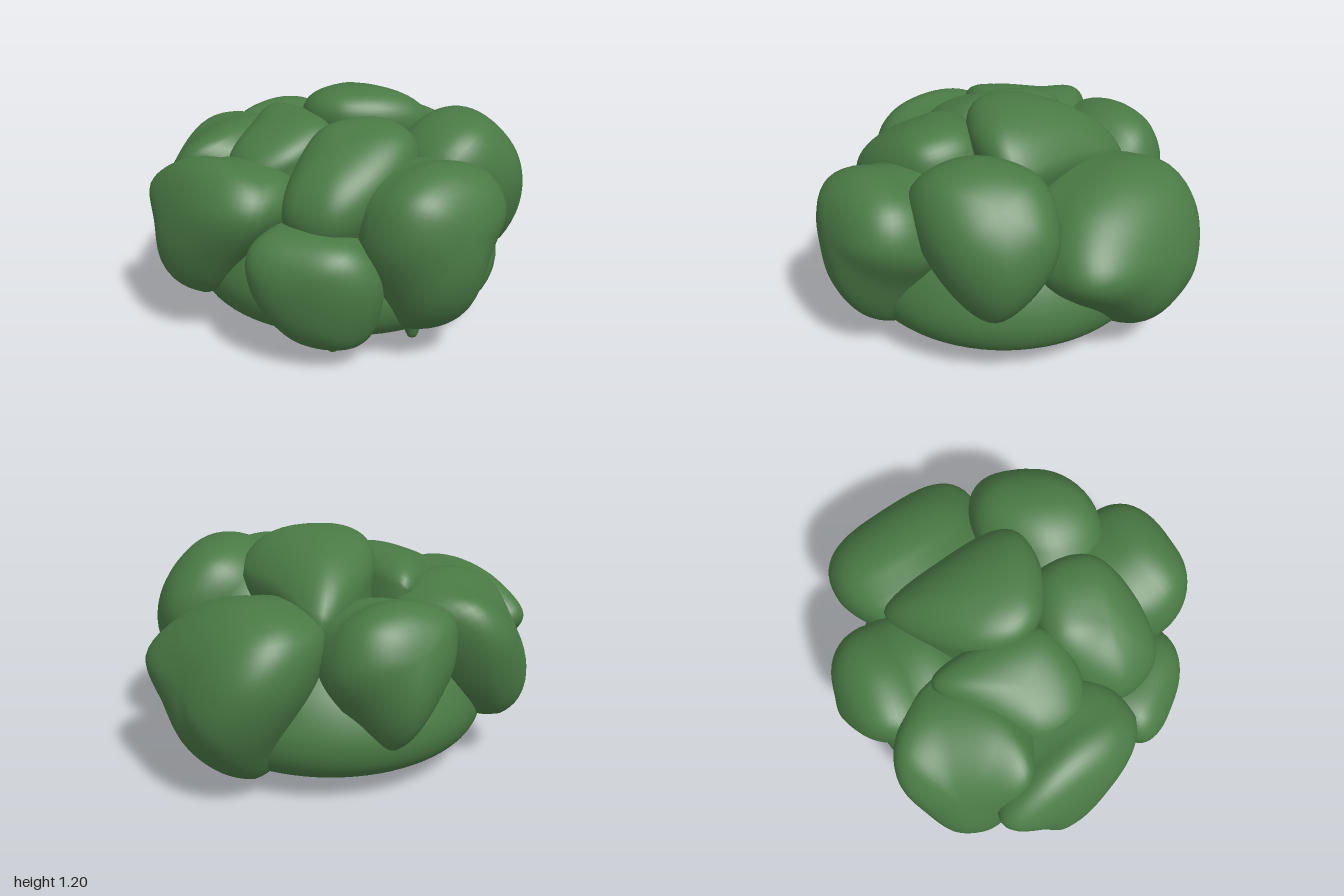
import * as THREE from 'three';
import { mergeVertices } from 'three/addons/utils/BufferGeometryUtils.js';

const green = new THREE.MeshStandardMaterial({ color: 0x4a7a45 });
const vec = (p) => new THREE.Vector3(...p);
const AROUND = 64, RINGS = 28;

// Pillow-like lobe: a closed rim curve swelling to an outer and an inner pole
function lobeGeometry(rim, apex, inner, power = 0.86) {
  const pts = rim.map(vec), top = vec(apex), bottom = vec(inner);
  const centre = pts.reduce((sum, p) => sum.add(p), new THREE.Vector3()).divideScalar(pts.length);
  const out = top.clone().sub(centre), back = bottom.clone().sub(centre);

  // Make the rim run counter-clockwise around the outward direction
  const normal = new THREE.Vector3();
  pts.forEach((p, i) => {
    const q = pts[(i + 1) % pts.length];
    normal.add(p.clone().sub(centre).cross(q.clone().sub(centre)));
  });
  if (normal.dot(out) < 0) pts.reverse();
  normal.normalize();

  const curve = new THREE.CatmullRomCurve3(pts, true, 'centripetal');
  const spokes = Array.from({ length: AROUND }, (_, i) => curve.getPointAt(i / AROUND).sub(centre));
  const position = [], index = [];
  for (let j = 0; j <= RINGS; j++) {
    const t = (j / RINGS - 0.5) * Math.PI;
    const r = j % RINGS ? Math.cos(t) ** power : 0;
    const h = Math.abs(Math.sin(t)) ** power;
    for (let i = 0; i < AROUND; i++) {
      // Warp of the rim out of its plane fades quadratically, so the poles stay smooth
      const warp = spokes[i].dot(normal) * (r * r - r);
      const p = centre.clone().addScaledVector(spokes[i], r)
        .addScaledVector(normal, warp).addScaledVector(t > 0 ? out : back, h);
      position.push(p.x, p.y, p.z);
      if (j === RINGS) continue;
      const a = j * AROUND + i, b = j * AROUND + (i + 1) % AROUND;
      if (j > 0) index.push(a, b, a + AROUND);
      if (j < RINGS - 1) index.push(b, b + AROUND, a + AROUND);
    }
  }
  let g = new THREE.BufferGeometry();
  g.setAttribute('position', new THREE.Float32BufferAttribute(position, 3));
  g.setIndex(index);
  g = mergeVertices(g, 1e-5);
  g.computeVertexNormals();
  return g;
}

export function createModel() {
  const model = new THREE.Group();
  model.name = 'lobedCluster';
  const add = (name, geometry) => {
    const mesh = new THREE.Mesh(geometry, green);
    mesh.name = name;
    model.add(mesh);
    return mesh;
  };
  const lobe = (name, rim, apex, inner, power) => add(name, lobeGeometry(rim, apex, inner, power));

  // Rounded, shallow body under the lobes
  const profile = new THREE.SplineCurve([
    [0, 0], [0.3, 0.015], [0.54, 0.06], [0.72, 0.14], [0.8, 0.25],
    [0.8, 0.4], [0.7, 0.6], [0.48, 0.78], [0, 0.88],
  ].map(([x, y]) => new THREE.Vector2(x, y))).getPoints(40);
  profile.forEach((p) => p.set(Math.max(p.x, 0), Math.max(p.y, 0)));
  add('body', new THREE.LatheGeometry(profile, 72)).position.x = -0.04;

  // Lobes around the side
  lobe('frontLobe', [
    [-0.53, 0.68, 0.76], [-0.3, 0.86, 0.7], [0, 0.92, 0.66], [0.23, 0.86, 0.68], [0.3, 0.72, 0.74],
    [0.12, 0.45, 0.82], [-0.06, 0.25, 0.84], [-0.23, 0.24, 0.84], [-0.36, 0.47, 0.82],
  ], [-0.19, 0.68, 0.98], [-0.1, 0.6, 0.4], 0.8);
  lobe('frontRightLobe', [
    [-0.87, 0.74, 0.35], [-0.78, 0.91, 0.25], [-0.52, 0.96, 0.18], [-0.3, 0.97, 0.42],
    [-0.27, 0.87, 0.69], [-0.41, 0.52, 0.74], [-0.55, 0.29, 0.71], [-0.71, 0.27, 0.62], [-0.82, 0.45, 0.47],
  ], [-0.68, 0.76, 0.69], [-0.4, 0.6, 0.25]);
  lobe('frontLeftLobe', [
    [0.25, 0.58, 0.74], [0.3, 0.67, 0.69], [0.46, 0.69, 0.58], [0.67, 0.64, 0.44], [0.74, 0.5, 0.36],
    [0.72, 0.3, 0.34], [0.63, 0.12, 0.38], [0.43, 0.12, 0.55], [0.28, 0.35, 0.71],
  ], [0.57, 0.42, 0.73], [0.3, 0.45, 0.3]);
  lobe('leftLobe', [
    [0.6, 0.96, 0.05], [0.66, 0.85, 0.32], [0.68, 0.62, 0.39], [0.7, 0.38, 0.31], [0.71, 0.18, 0.18],
    [0.71, 0.15, -0.06], [0.69, 0.45, -0.24], [0.68, 0.68, -0.35], [0.63, 0.88, -0.26],
  ], [0.99, 0.7, 0.02], [0.4, 0.6, 0]);
  lobe('rightLobe', [
    [-0.58, 0.94, -0.05], [-0.62, 0.86, -0.32], [-0.69, 0.64, -0.4], [-0.74, 0.44, -0.29],
    [-0.8, 0.27, -0.12], [-0.75, 0.46, 0.13], [-0.7, 0.62, 0.24], [-0.63, 0.83, 0.26],
  ], [-0.96, 0.79, -0.05], [-0.35, 0.65, -0.05]);
  lobe('backLobe', [
    [0.22, 0.58, -0.8], [0.07, 0.84, -0.58], [-0.3, 0.95, -0.46], [-0.63, 0.87, -0.48],
    [-0.71, 0.65, -0.6], [-0.6, 0.32, -0.71], [-0.43, 0.1, -0.66], [-0.25, 0.13, -0.72], [-0.03, 0.32, -0.77],
  ], [-0.34, 0.63, -0.98], [-0.2, 0.5, -0.3]);

  // Lobes on the upper side
  lobe('upperBackLobe', [
    [0.47, 0.38, -0.64], [0.68, 0.65, -0.42], [0.62, 0.92, -0.13],
    [0.3, 0.98, -0.12], [0.07, 0.9, -0.42], [0.16, 0.62, -0.68],
  ], [0.44, 0.99, -0.64], [0.2, 0.55, -0.2]);
  lobe('topLobe', [
    [-0.55, 0.88, -0.35], [-0.2, 0.96, -0.42], [0.19, 0.96, -0.41], [0.23, 0.95, -0.2],
    [0.08, 0.95, 0.1], [-0.12, 0.95, 0.17], [-0.35, 0.95, 0.05],
  ], [-0.04, 1.2, -0.04], [-0.1, 0.6, -0.1]);
  lobe('upperFrontLobe', [
    [-0.53, 0.97, 0.13], [-0.3, 1, 0.08], [0.07, 0.99, 0.15], [0.14, 0.88, 0.42],
    [0.03, 0.8, 0.61], [-0.2, 0.81, 0.61], [-0.42, 0.88, 0.36],
  ], [-0.15, 1.05, 0.4], [-0.1, 0.5, 0.2]);
  lobe('upperLeftLobe', [
    [0.05, 0.95, 0.2], [0.2, 0.99, -0.1], [0.48, 0.95, -0.08], [0.6, 0.8, 0.2],
    [0.55, 0.66, 0.51], [0.3, 0.66, 0.6], [0.12, 0.75, 0.45],
  ], [0.37, 1.04, 0.32], [0.2, 0.5, 0.1]);

  // Little rounded stem tips under the lowest lobes
  const tip = new THREE.LatheGeometry([
    [0, -0.065], [0.022, -0.058], [0.033, -0.035], [0.04, 0], [0.055, 0.035], [0.08, 0.06],
  ].map(([x, y]) => new THREE.Vector2(x, y)), 20);
  [[0.5, 0.11, 0.46], [0.68, 0.16, 0.11], [-0.29, 0.12, -0.56]].forEach((p) => {
    add('stemTip', tip).position.set(...p);
  });
  return model;
}
